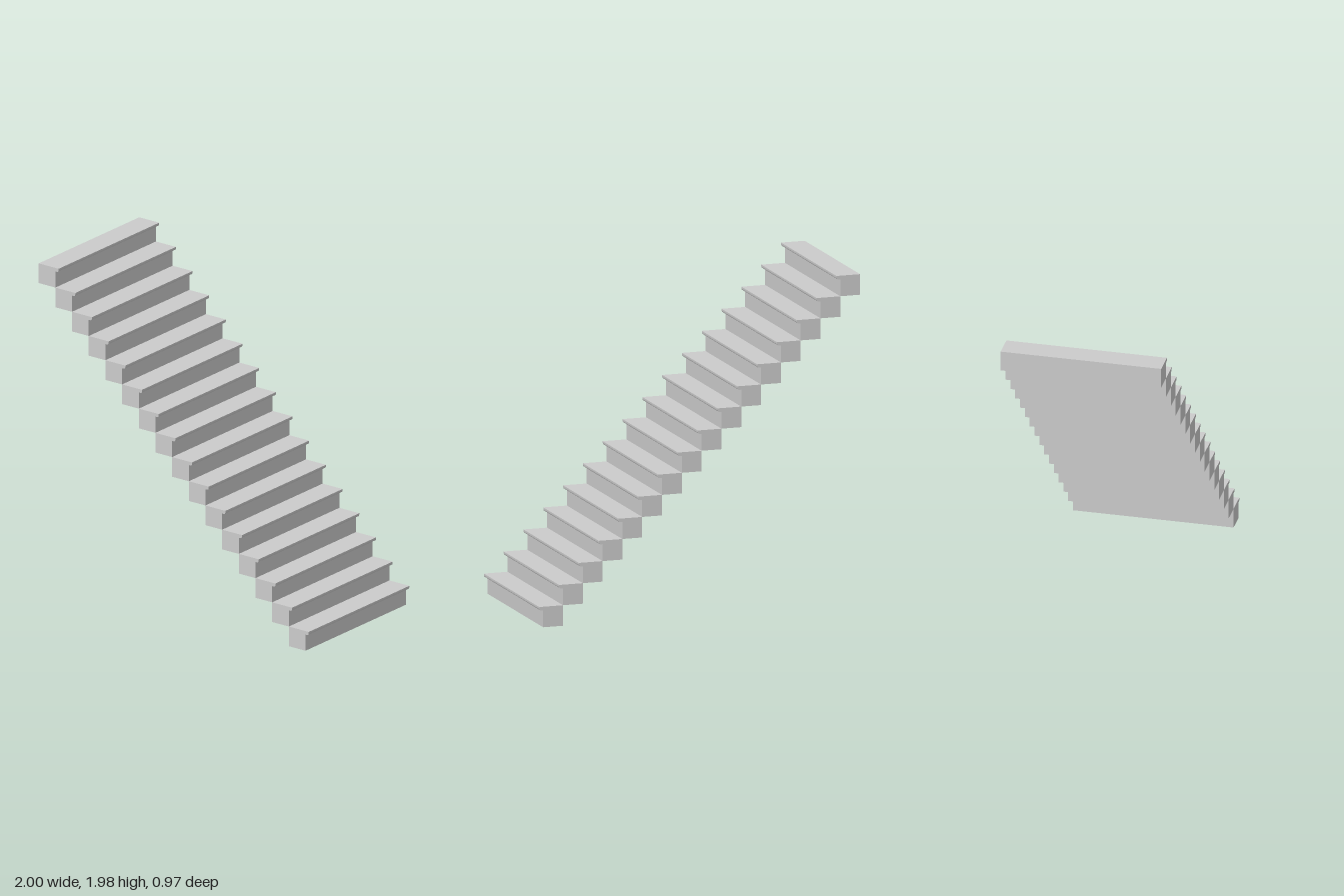
import * as THREE from 'three';

const STEPS = 16;
const PITCH = 0.1235; // rise and run of one step
const NOSE = 0.024; // overhang of the tread
const DEPTH = 0.968; // width of the flight along z

// Side profile of one step: square block with a rounded nosing
function stepProfile() {
  const s = new THREE.Shape();
  const edge = PITCH + NOSE;
  s.moveTo(0, 0);
  s.lineTo(PITCH, 0);
  s.lineTo(PITCH, PITCH - 0.022);
  s.lineTo(edge - 0.014, PITCH - 0.022);
  s.quadraticCurveTo(edge, PITCH - 0.022, edge, PITCH - 0.008);
  s.lineTo(edge, PITCH);
  s.lineTo(0, PITCH);
  s.closePath();
  return s;
}

export function createModel() {
  const model = new THREE.Group();
  model.name = 'staircase';
  const material = new THREE.MeshStandardMaterial({ color: 0xcccccc, flatShading: true });
  const geometry = new THREE.ExtrudeGeometry(stepProfile(), {
    depth: DEPTH, bevelEnabled: false, curveSegments: 4,
  });
  geometry.translate(0, 0, -DEPTH / 2);

  // Flight climbing from +x up to -x
  for (let i = 0; i < STEPS; i++) {
    const step = new THREE.Mesh(geometry, material);
    step.name = `step${i + 1}`;
    step.position.set(1 - NOSE - (i + 1) * PITCH, i * PITCH, 0);
    model.add(step);
  }
  return model;
}
